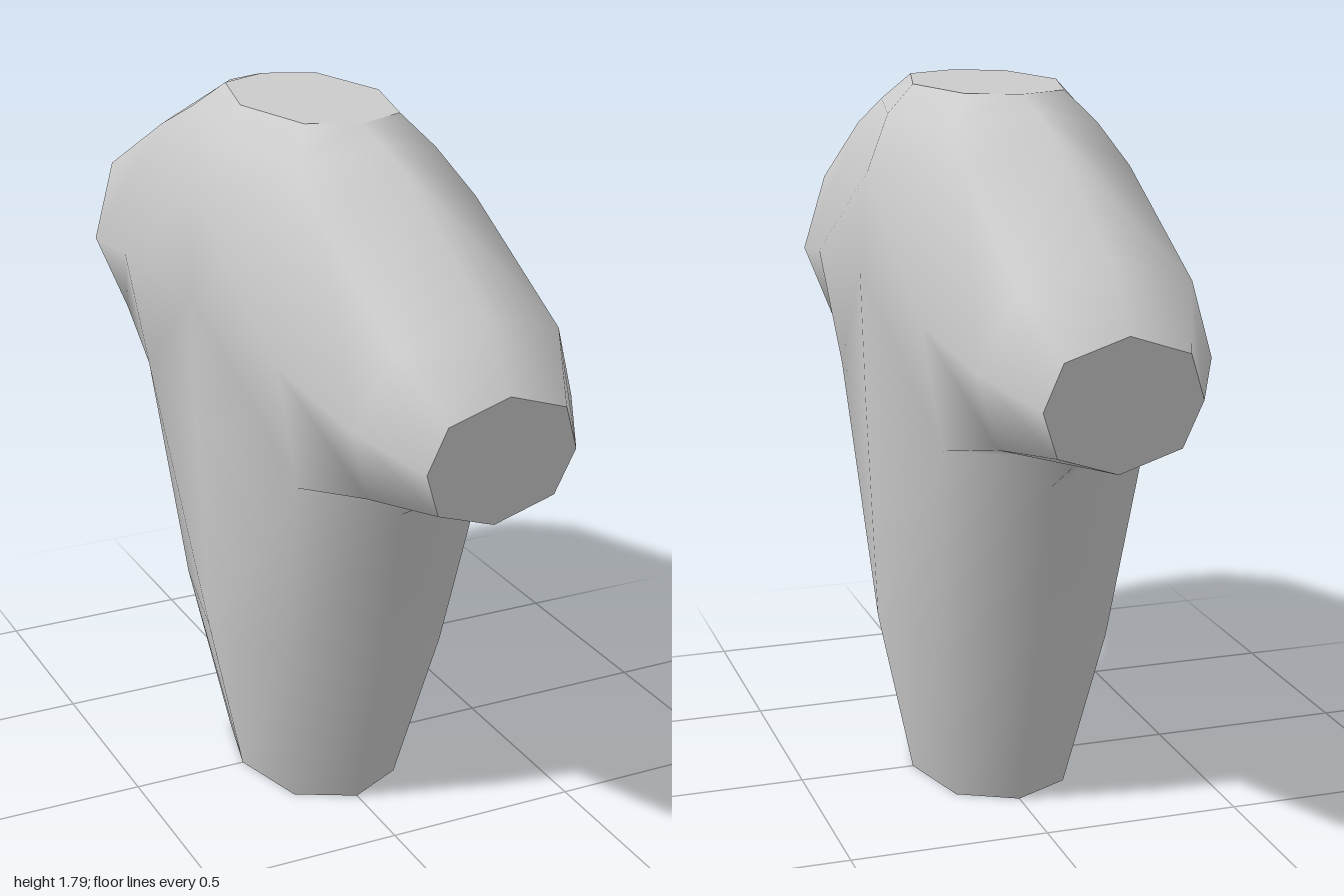
import * as THREE from 'three';
import { mergeVertices } from 'three/addons/utils/BufferGeometryUtils.js';

// Collects the quads of one quarter (+x, +z), mirrors them and welds the seams.
function mirroredGeometry(quads) {
  const pos = [];
  for (const sx of [1, -1]) {
    for (const sz of [1, -1]) {
      for (const [a, b, c, d] of quads) {
        const tris = sx * sz > 0 ? [a, b, c, a, c, d] : [a, c, b, a, d, c];
        for (const p of tris) pos.push(p[0] * sx, p[1], p[2] * sz);
      }
    }
  }
  const raw = new THREE.BufferGeometry();
  raw.setAttribute('position', new THREE.Float32BufferAttribute(pos, 3));
  const geometry = mergeVertices(raw, 1e-4);
  geometry.computeVertexNormals();
  return geometry;
}

// Quads between two neighbouring rows of points.
function strip(a, b) {
  const quads = [];
  for (let i = 0; i < a.length - 1; i++) quads.push([a[i], b[i], b[i + 1], a[i + 1]]);
  return quads;
}

export function createModel() {
  const group = new THREE.Group();
  const material = new THREE.MeshStandardMaterial({ color: 0xcccccc });

  // Quarter rings of the neck and waist, from the front edge round to the side
  const neck = [[0, 1.79, 0.285], [0.125, 1.79, 0.23], [0.185, 1.79, 0]];
  const collar = [[0, 1.764, 0.375], [0.18, 1.72, 0.31], [0.25, 1.72, 0]];
  const belly = [[0, 0.43, 0.41], [0.215, 0.43, 0.32], [0.29, 0.43, 0]];
  const waist = [[0, 0, 0.285], [0.145, 0, 0.21], [0.2, 0, 0]];

  // Side of the chest, from shoulder height to armpit height
  const chest = [[0.303, 1.58, 0], [0.325, 1.33, 0], [0.315, 1.0, 0]];

  // Half rings of the arm, from its top edge round to its underside
  const armRoot = [[0, 1.73, 0.49], [0.2, 1.64, 0.47], [0.31, 1.3, 0.48], [0.255, 0.99, 0.47], [0, 0.89, 0.51]];
  const armMiddle = [[0, 1.505, 0.88], [0.2, 1.44, 0.855], [0.275, 1.25, 0.8], [0.21, 1.06, 0.74], [0, 1.015, 0.715]];
  const armEnd = [[0, 1.36, 1], [0.145, 1.31, 0.991], [0.185, 1.2, 0.973], [0.145, 1.09, 0.954], [0, 1.04, 0.945]];

  const skin = [
    ...strip(neck, collar),
    ...strip(collar, [armRoot[0], armRoot[1], chest[0]]),
    ...strip(chest, armRoot.slice(1, 4)),
    ...strip(armRoot, armMiddle),
    ...strip(armMiddle, armEnd),
    ...strip([armRoot[4], armRoot[3], chest[2]], belly),
    ...strip(belly, waist),
  ];

  // Flat ends closing the neck, waist and arms
  const [n, w, e] = [neck, waist, armEnd];
  const armCentre = [0, 1.2, 0.973];
  const parts = {
    torso: skin,
    neckCap: [[[0, 1.79, 0], n[0], n[1], n[2]]],
    waistCap: [[[0, 0, 0], w[2], w[1], w[0]]],
    armCaps: [[armCentre, e[4], e[3], e[2]], [armCentre, e[2], e[1], e[0]]],
  };
  for (const [name, quads] of Object.entries(parts)) {
    const mesh = new THREE.Mesh(mirroredGeometry(quads), material);
    mesh.name = name;
    group.add(mesh);
  }
  return group;
}
